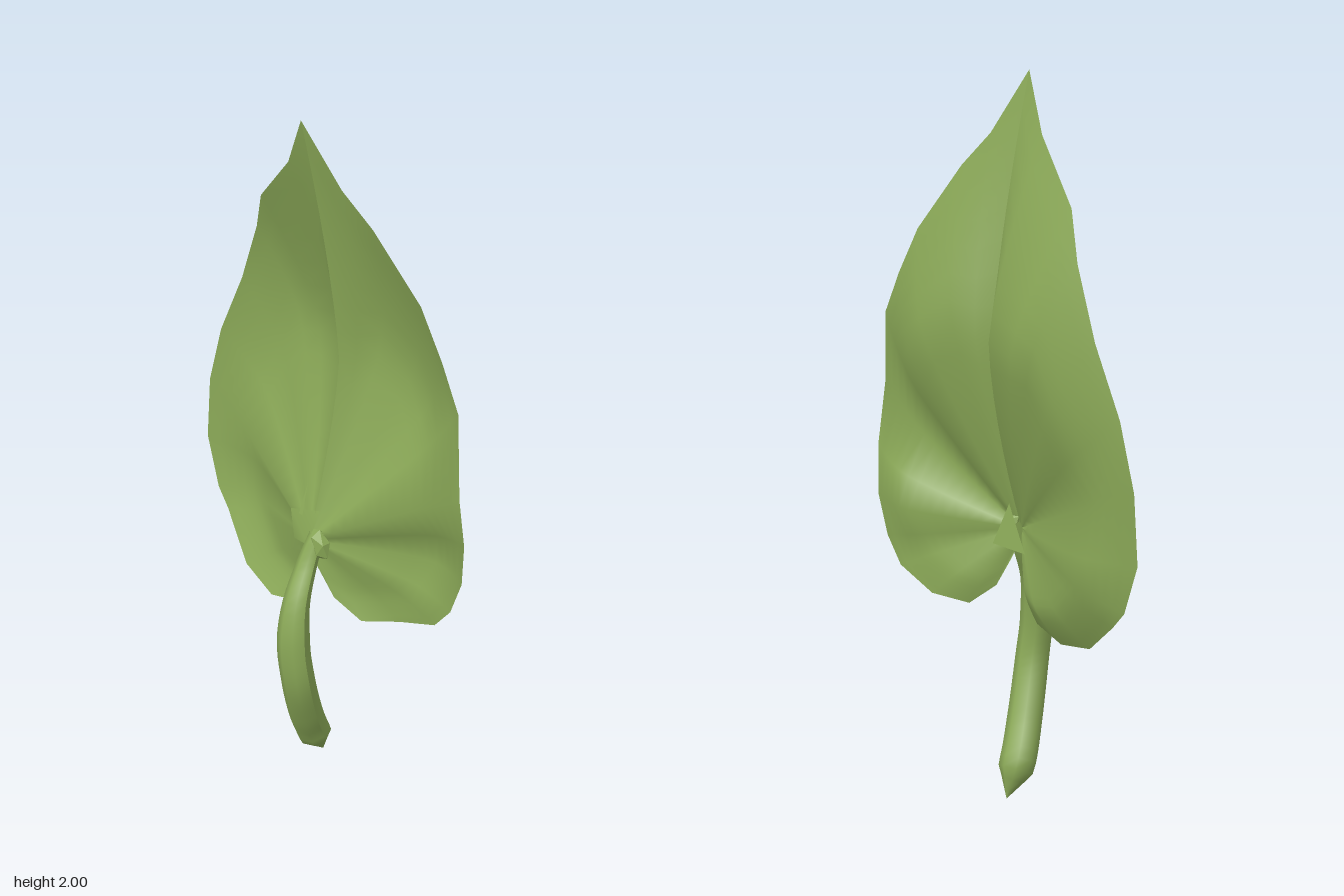
import * as THREE from 'three';

const green = new THREE.MeshStandardMaterial({ color: 0x8aa857, side: THREE.DoubleSide });
green.name = 'leafGreen';

function surface(positions, index) {
  const g = new THREE.BufferGeometry();
  g.setAttribute('position', new THREE.Float32BufferAttribute(positions, 3));
  g.setIndex(index);
  g.computeVertexNormals();
  return g;
}

function add(group, name, geometry) {
  const mesh = new THREE.Mesh(geometry, green);
  mesh.name = name;
  group.add(mesh);
  return mesh;
}

// Spokes of one half, tip to notch: rim x, y, z and the depth at the spoke's fold
const rightRim = [
  [0.02, 2.0, 0.04, -0.07], [-0.08, 1.84, 0.0, -0.135], [-0.25, 1.67, -0.045, -0.15],
  [-0.32, 1.54, -0.085, -0.145], [-0.4, 1.35, -0.095, -0.13], [-0.48, 1.16, -0.08, -0.105],
  [-0.53, 0.98, -0.075, -0.055], [-0.54, 0.79, -0.07, -0.1], [-0.48, 0.65, -0.06, -0.075],
  [-0.43, 0.6, -0.055, -0.07], [-0.29, 0.5, -0.01, -0.04], [-0.15, 0.475, 0.01, -0.03],
  [-0.05, 0.51, 0.01, -0.01], [0.0, 0.6, 0.01, 0.01], [0.02, 0.67, 0.015, 0.02],
];
const leftRim = [
  [0.02, 2.0, 0.04, -0.07], [0.12, 1.83, -0.01, -0.1], [0.2, 1.74, -0.045, -0.135],
  [0.33, 1.56, -0.095, -0.16], [0.41, 1.43, -0.1, -0.155], [0.475, 1.31, -0.1, -0.115],
  [0.535, 1.1, -0.058, -0.06], [0.515, 0.93, -0.1, -0.13], [0.49, 0.79, -0.12, -0.145],
  [0.45, 0.68, -0.12, -0.11], [0.39, 0.605, -0.12, -0.095], [0.26, 0.55, -0.11, -0.08],
  [0.17, 0.53, -0.05, -0.04], [0.1, 0.59, -0.01, 0.0], [0.06, 0.67, 0.01, 0.02],
];
const heart = [0.035, 0.76, 0.025];

// Half blade: rings along spokes that run from the stem joint to the rim
function halfBlade(rim, flip) {
  const rings = 14, pos = [], idx = [];
  rim.forEach(([x, y, z, depth], i) => {
    const fold = Math.min(0.67, 0.43 + 0.08 * i);
    const drop = depth - heart[2] - (z - heart[2]) * fold;
    for (let j = 0; j <= rings; j++) {
      const t = j / rings;
      const s = t < fold ? t / fold : (1 - t) / (1 - fold);
      const bend = drop * (1 - (1 - s) ** 1.4);
      const bow = i ? 0 : 0.015 * s;
      pos.push(
        heart[0] + (x - heart[0]) * t + bow,
        heart[1] + (y - heart[1]) * t,
        heart[2] + (z - heart[2]) * t + bend);
    }
  });
  const n = rings + 1;
  for (let i = 0; i < rim.length - 1; i++) {
    for (let j = 0; j < rings; j++) {
      const a = i * n + j, b = a + n;
      const quad = j ? [a, a + 1, b + 1, a, b + 1, b] : [a, a + 1, b + 1];
      if (flip) quad.reverse();
      idx.push(...quad);
    }
  }
  return surface(pos, idx);
}

// Curved stalk that thickens towards a blunt cut foot
function stalkGeometry() {
  const path = new THREE.CatmullRomCurve3([
    [0.05, 0.78, 0.01], [0.05, 0.7, 0.045], [0.07, 0.6, 0.1], [0.083, 0.48, 0.12],
    [0.088, 0.36, 0.108], [0.055, 0.21, 0.055], [0.02, 0.1, 0.0], [0.015, 0.0, -0.045],
  ].map((p) => new THREE.Vector3(...p)));
  const steps = 30, sides = 8;
  const g = new THREE.TubeGeometry(path, steps, 1, sides);
  const pos = g.attributes.position, v = new THREE.Vector3();
  for (let i = 0; i <= steps; i++) {
    const t = i / steps, c = path.getPointAt(t);
    const r = t > 0.89 ? 0.054 * (1 - t) / 0.11 : 0.022 + 0.02 * Math.min(1, t / 0.35) + 0.01 * t;
    for (let k = 0; k <= sides; k++) {
      const n = i * (sides + 1) + k;
      v.fromBufferAttribute(pos, n).sub(c).multiplyScalar(r).add(c);
      pos.setXYZ(n, v.x, v.y, v.z);
    }
  }
  g.computeVertexNormals();
  return g;
}

export function createModel() {
  const leaf = new THREE.Group();
  leaf.name = 'leaf';
  add(leaf, 'rightBlade', halfBlade(rightRim, false));
  add(leaf, 'leftBlade', halfBlade(leftRim, true));
  add(leaf, 'stalk', stalkGeometry());

  // Torn scraps around the joint
  const joint = new THREE.Group();
  joint.name = 'joint';
  leaf.add(joint);
  add(joint, 'frontScrap', surface(
    [-0.05, 0.82, 0.02, -0.035, 0.73, 0.02, 0.04, 0.75, 0.035, 0.05, 0.85, 0.0],
    [0, 1, 2, 0, 2, 3]));
  add(joint, 'backScrap', surface(
    [-0.07, 0.72, -0.05, 0.06, 0.725, -0.055, 0.02, 0.84, -0.03], [0, 2, 1]));
  add(joint, 'upperSliver', surface(
    [-0.012, 0.91, -0.01, -0.015, 0.82, 0.02, 0.0, 0.82, 0.02], [0, 1, 2]));
  add(joint, 'sideSliver', surface(
    [-0.08, 0.66, 0.0, 0.0, 0.71, 0.025, -0.005, 0.725, 0.025], [0, 1, 2]));
  const knot = add(joint, 'knot', new THREE.IcosahedronGeometry(0.04, 0));
  knot.position.set(0.068, 0.76, 0.015);
  knot.scale.set(0.9, 1.25, 0.6);
  knot.rotation.z = 0.4;
  return leaf;
}
